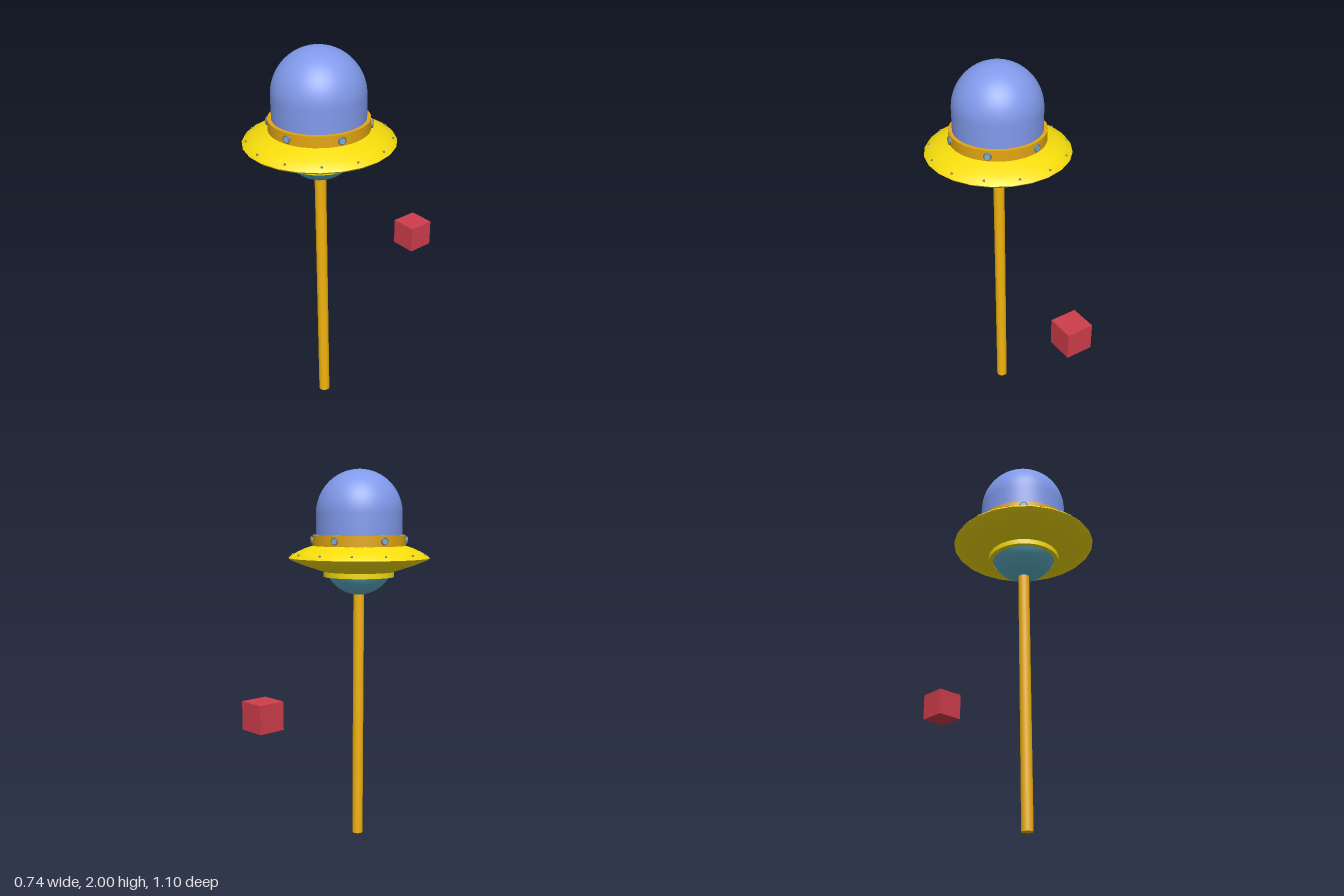
import * as THREE from 'three';
import { toCreasedNormals } from 'three/addons/utils/BufferGeometryUtils.js';

const paint = (color) => new THREE.MeshStandardMaterial({ color });
const yellow = paint(0xf5dc0c), amber = paint(0xe3a612), orange = paint(0xf2b30e);
const violet = paint(0x8099ea), teal = paint(0x5fb4cc), red = paint(0xcf3d4c);
const steel = paint(0x7a7f85), glass = paint(0x78b4dc);

function add(parent, name, geometry, material, x = 0, y = 0, z = 0) {
  const mesh = new THREE.Mesh(geometry, material);
  mesh.name = name;
  mesh.position.set(x, y, z);
  parent.add(mesh);
  return mesh;
}

// Revolve [radius, height] points listed from bottom to top
function lathe(points, segments, start = 0) {
  const profile = points.map(([r, y]) => new THREE.Vector2(r, y));
  return toCreasedNormals(new THREE.LatheGeometry(profile, segments, start), 0.5);
}

export function createModel() {
  const model = new THREE.Group();
  const saucer = new THREE.Group();
  saucer.name = 'saucer';
  saucer.position.z = 0.177;
  model.add(saucer);

  // Support pole
  add(saucer, 'pole', new THREE.CylinderGeometry(0.029, 0.029, 1.38, 32), orange, 0, 0.69, 0);

  // Brim with the collar underneath
  add(saucer, 'brim', lathe([
    [0.165, 1.47], [0.165, 1.44], [0.188, 1.44], [0.188, 1.467], [0.215, 1.476],
    [0.29, 1.5], [0.365, 1.53], [0.375, 1.54], [0.365, 1.552], [0.33, 1.572],
    [0.29, 1.59], [0.245, 1.605],
  ], 24, Math.PI / 24), yellow);

  // Lower globe, showing below the collar
  add(saucer, 'lowerGlobe',
    new THREE.SphereGeometry(0.185, 48, 20, 0, Math.PI * 2, Math.PI / 2, Math.PI / 2),
    teal, 0, 1.53, 0);

  // Porthole band around the dome
  add(saucer, 'band', lathe([
    [0.247, 1.59], [0.247, 1.66], [0.22, 1.66], [0.22, 1.59],
  ], 64), amber);

  // Dome: straight wall with a hemisphere on top
  const dome = [[0.228, 1.6]];
  for (let i = 0; i <= 20; i++) {
    const a = (i / 20) * Math.PI / 2;
    dome.push([0.228 * Math.cos(a), 1.772 + 0.228 * Math.sin(a)]);
  }
  add(saucer, 'dome', lathe(dome, 64), violet);

  // Six portholes, each a glass disc in a steel rim
  for (let i = 0; i < 6; i++) {
    const porthole = new THREE.Group();
    porthole.name = 'porthole';
    porthole.rotation.y = 0.28 + i * Math.PI / 3;
    const pane = add(porthole, 'pane', new THREE.CylinderGeometry(0.018, 0.018, 0.016, 16), glass, 0, 1.632, 0.248);
    pane.rotation.x = Math.PI / 2;
    add(porthole, 'rim', new THREE.TorusGeometry(0.017, 0.0045, 8, 20), steel, 0, 1.632, 0.253);
    saucer.add(porthole);
  }

  // Thirteen rivets near the edge of the brim
  const rivet = new THREE.SphereGeometry(0.006, 10, 8);
  for (let i = 0; i < 13; i++) {
    const a = -0.034 + (i / 13) * Math.PI * 2;
    add(saucer, 'rivet', rivet, steel, 0.353 * Math.sin(a), 1.559, 0.353 * Math.cos(a));
  }

  // Separate cube behind the pole
  add(model, 'cube', new THREE.BoxGeometry(0.144, 0.144, 0.144), red, 0, 0.791, -0.482);

  return model;
}
